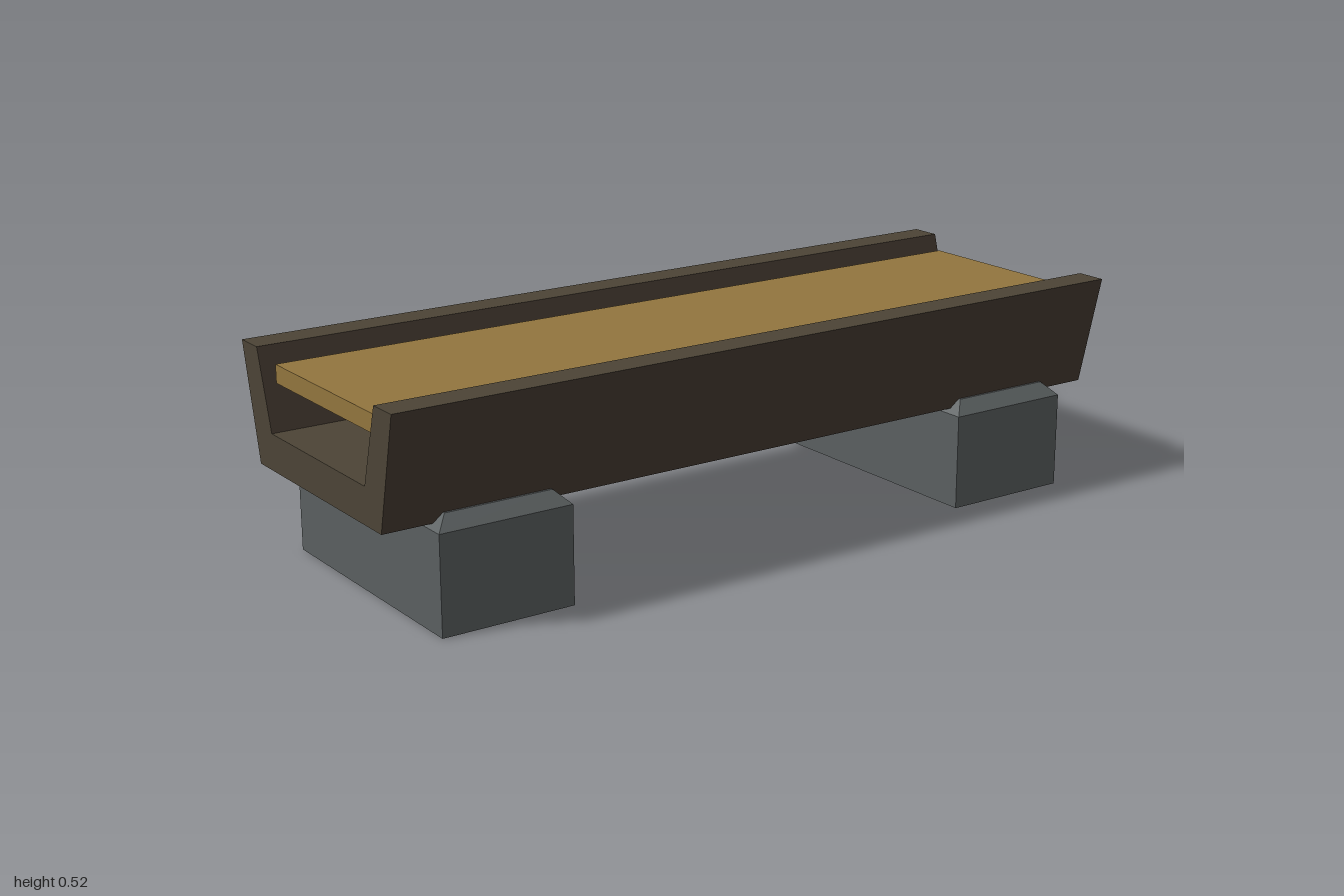
import * as THREE from 'three';

const material = (name, color) => {
  const m = new THREE.MeshStandardMaterial({ color });
  m.name = name;
  return m;
};

export function createModel() {
  const wood = material('wood', 0x4c4436);
  const wallWood = material('wall wood', 0x453a31);
  const fill = material('golden fill', 0x92753e);
  const stone = material('stone', 0x5a5f60);
  const group = new THREE.Group();
  group.name = 'trough';

  const add = (name, geometry, mat, x = 0, y = 0, z = 0) => {
    const mesh = new THREE.Mesh(geometry, mat);
    mesh.name = name;
    mesh.position.set(x, y, z);
    group.add(mesh);
    return mesh;
  };

  // Open-ended trough: a flared channel section run along x
  const half = [[0.29, 0.245], [0.355, 0.523], [0.278, 0.523], [0.223, 0.333]];
  const mirrored = half.map(([x, y]) => [-x, y]).reverse();
  const section = new THREE.Shape([...half, ...mirrored].map(([x, y]) => new THREE.Vector2(x, y)));
  const channel = new THREE.ExtrudeGeometry(section, { depth: 2, bevelEnabled: false });
  channel.translate(0, 0, -1).rotateY(Math.PI / 2);

  // Sloped wall faces take the browner wood; rims, floor and ends the other
  channel.clearGroups();
  const normals = channel.attributes.normal;
  for (let i = 0; i < normals.count; i += 3) {
    channel.addGroup(i, 3, Math.abs(normals.getZ(i)) > 0.5 ? 1 : 0);
  }
  add('channel', channel, [wood, wallWood]);

  // Flat slab of contents between the walls
  add('fill', new THREE.BoxGeometry(1.955, 0.044, 0.466), fill, 0, 0.467, 0);

  // Two stone blocks with chamfered tops
  const width = 0.332, depth = 0.666, shoulder = 0.235, top = 0.267, inset = 0.032;
  const block = new THREE.BoxGeometry(width, top, depth, 1, 2, 1).toNonIndexed();
  block.translate(0, top / 2, 0);
  const p = block.attributes.position;
  for (let i = 0; i < p.count; i++) {
    const y = p.getY(i);
    if (y > top - 0.001) {
      p.setX(i, p.getX(i) - Math.sign(p.getX(i)) * inset);
      p.setZ(i, p.getZ(i) - Math.sign(p.getZ(i)) * inset);
    } else if (y > 0.001) {
      p.setY(i, shoulder);
    }
  }
  block.computeVertexNormals();
  add('leftBlock', block, stone, 0.722);
  add('rightBlock', block, stone, -0.722);

  return group;
}
